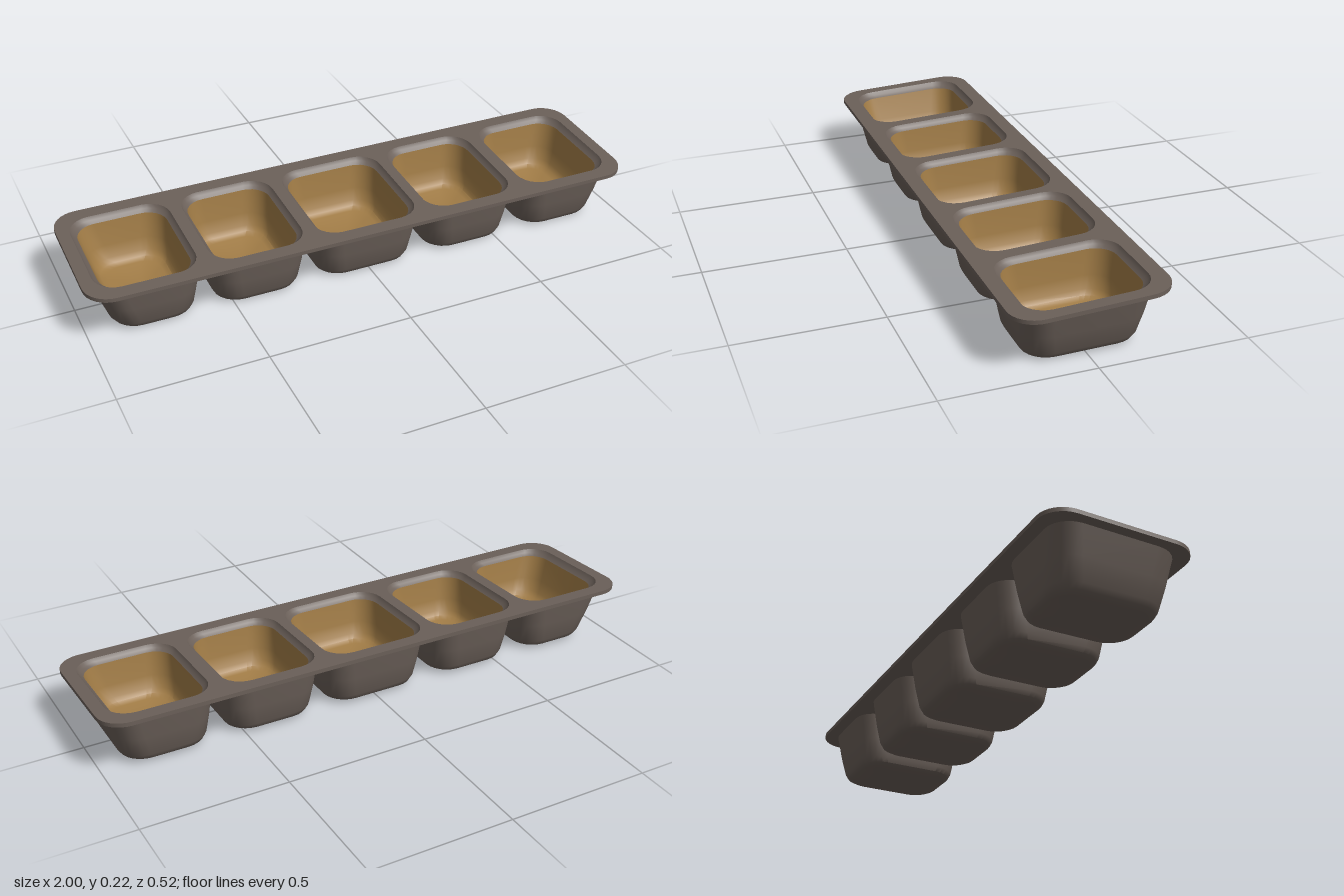
import * as THREE from 'three';
import { toCreasedNormals } from 'three/addons/utils/BufferGeometryUtils.js';

const TOP = 0.207;
const THICK = 0.014;

// Extent of each cup along x at the rim and at the base
const CUPS = [
  { top: [-0.965, -0.6], base: [-0.9, -0.625] },
  { top: [-0.575, -0.225], base: [-0.55, -0.25] },
  { top: [-0.2, 0.195], base: [-0.175, 0.17] },
  { top: [0.215, 0.57], base: [0.24, 0.545] },
  { top: [0.6, 0.965], base: [0.62, 0.915] },
];

// Rounded rectangle of [x, z] points
function roundedRect(x0, x1, z0, z1, r, steps = 6) {
  const pts = [];
  const corners = [[x1 - r, z1 - r], [x0 + r, z1 - r], [x0 + r, z0 + r], [x1 - r, z0 + r]];
  corners.forEach(([cx, cz], c) => {
    for (let i = 0; i <= steps; i++) {
      const a = (c + i / steps) * Math.PI / 2;
      pts.push([cx + r * Math.cos(a), cz + r * Math.sin(a)]);
    }
  });
  return pts;
}

// Cross-section of a cup at height y, moved inwards by inset
function section(cup, y, inset) {
  const t = y / 0.2;
  const mix = (a, b) => a + (b - a) * t;
  return roundedRect(
    mix(cup.base[0], cup.top[0]) + inset, mix(cup.base[1], cup.top[1]) - inset,
    mix(-0.187, -0.218) + inset, mix(0.187, 0.218) - inset, 0.085 - inset * 0.5);
}

// The whole tray leans gently down towards the front
function lean(geometry) {
  const p = geometry.attributes.position;
  for (let i = 0; i < p.count; i++) {
    const y = p.getY(i);
    p.setY(i, y - p.getZ(i) * (0.015 + 0.03 * y / 0.2));
  }
  return toCreasedNormals(geometry, 0.6);
}

// Skin a cup through [y, inset] levels listed from top to bottom
function loft(cup, levels, capped, inward) {
  const pos = [], idx = [];
  const tri = (a, b, c) => (inward ? idx.push(a, c, b) : idx.push(a, b, c));
  let n = 0;
  for (const [y, inset] of levels) {
    const ring = section(cup, y, inset);
    n = ring.length;
    ring.forEach(([x, z]) => pos.push(x, y, z));
  }
  for (let k = 0; k < levels.length - 1; k++) {
    for (let i = 0; i < n; i++) {
      const j = (i + 1) % n, up = k * n, lo = up + n;
      tri(lo + i, up + i, lo + j);
      tri(up + i, up + j, lo + j);
    }
  }
  if (capped) {
    const last = (levels.length - 1) * n, centre = pos.length / 3;
    pos.push((cup.base[0] + cup.base[1]) / 2, levels[levels.length - 1][0], 0);
    for (let i = 0; i < n; i++) tri(centre, last + i, last + (i + 1) % n);
  }
  const g = new THREE.BufferGeometry();
  g.setAttribute('position', new THREE.Float32BufferAttribute(pos, 3));
  g.setIndex(idx);
  return lean(g);
}

export function createModel() {
  const tray = new THREE.Group();
  tray.name = 'cupTray';
  const shell = new THREE.MeshStandardMaterial({ name: 'darkShell', color: 0x6b6059 });
  const lining = new THREE.MeshStandardMaterial({ name: 'goldLining', color: 0xa17c46 });
  const add = (parent, name, geometry, material) => {
    const mesh = new THREE.Mesh(geometry, material);
    mesh.name = name;
    parent.add(mesh);
  };

  // Flat rim with one opening for each cup
  const toPoints = (pts) => pts.map(([x, z]) => new THREE.Vector2(x, z));
  const rim = new THREE.Shape(toPoints(roundedRect(-1, 1, -0.26, 0.26, 0.09, 8)));
  for (const cup of CUPS) rim.holes.push(new THREE.Path(toPoints(section(cup, TOP, 0.01))));
  const rimGeometry = new THREE.ExtrudeGeometry(rim, { depth: THICK, bevelEnabled: false });
  rimGeometry.rotateX(Math.PI / 2).translate(0, TOP, 0);
  add(tray, 'rim', lean(rimGeometry), shell);

  // Cups: outer wall, stepped lip and coloured lining
  CUPS.forEach((cup, i) => {
    const group = new THREE.Group();
    group.name = 'cup' + (i + 1);
    add(group, 'outerWall', loft(cup,
      [[TOP - THICK + 0.004, 0], [0.1, -0.002], [0.03, 0], [0.012, 0.006], [0.003, 0.02]], true, false), shell);
    add(group, 'lip', loft(cup, [[TOP, 0.01], [0.195, 0.014], [0.186, 0.024]], false, true), shell);
    add(group, 'lining', loft(cup,
      [[0.186, 0.024], [0.1, 0.021], [0.055, 0.023], [0.038, 0.032], [0.03, 0.05]], true, true), lining);
    tray.add(group);
  });
  return tray;
}
